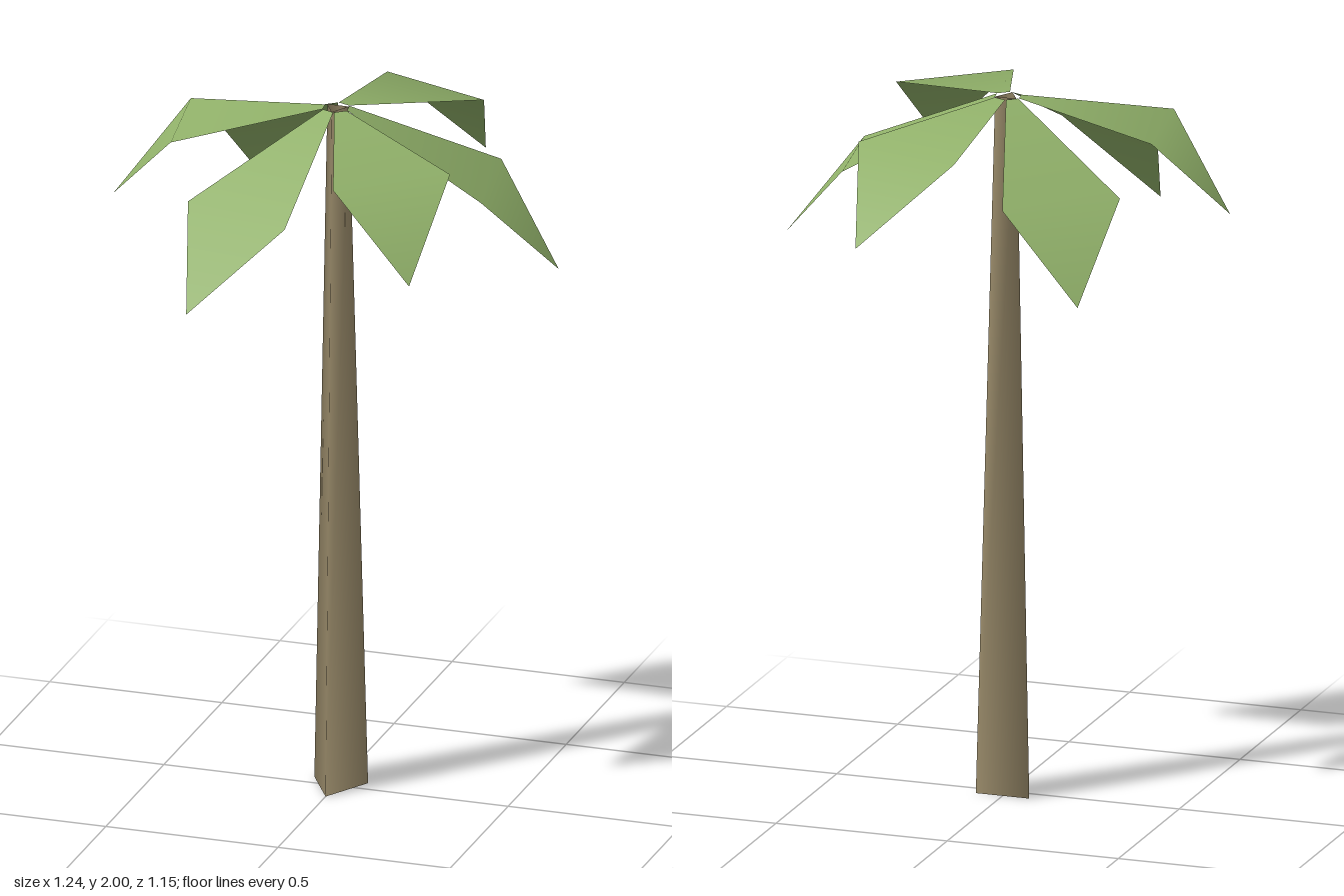
import * as THREE from 'three';

const bark = new THREE.MeshStandardMaterial({ color: 0x9b8c6b, side: THREE.DoubleSide });
bark.name = 'bark';
const leaf = new THREE.MeshStandardMaterial({ color: 0x90b069, side: THREE.DoubleSide });
leaf.name = 'leaf';

// One frond along +x: narrow root, wide shoulders, drooping tip
function frondGeometry(shoulderY, tipY) {
  const geometry = new THREE.BufferGeometry();
  geometry.setAttribute('position', new THREE.Float32BufferAttribute([
    0.034, 2, -0.018,
    0.034, 2, 0.018,
    0.433, shoulderY, -0.172,
    0.433, shoulderY, 0.172,
    0.625, tipY, 0.021,
  ], 3));
  geometry.setIndex([0, 1, 3, 0, 3, 2, 2, 3, 4]);
  geometry.computeVertexNormals();
  return geometry;
}

export function createModel() {
  const tree = new THREE.Group();
  tree.name = 'palmTree';

  // Open, tapered three-sided trunk
  const trunk = new THREE.Mesh(new THREE.CylinderGeometry(0.036, 0.09, 2, 3, 1, true), bark);
  trunk.name = 'trunk';
  trunk.position.y = 1;
  tree.add(trunk);

  // Six fronds, alternately drooping and raised
  const crown = new THREE.Group();
  crown.name = 'crown';
  const drooping = frondGeometry(1.81, 1.57);
  const raised = frondGeometry(1.935, 1.7);
  for (let i = 0; i < 6; i++) {
    const frond = new THREE.Mesh(i % 2 ? raised : drooping, leaf);
    frond.name = i % 2 ? 'raisedFrond' : 'droopingFrond';
    frond.rotation.y = THREE.MathUtils.degToRad(9.3 + i * 60);
    crown.add(frond);
  }
  tree.add(crown);
  return tree;
}
